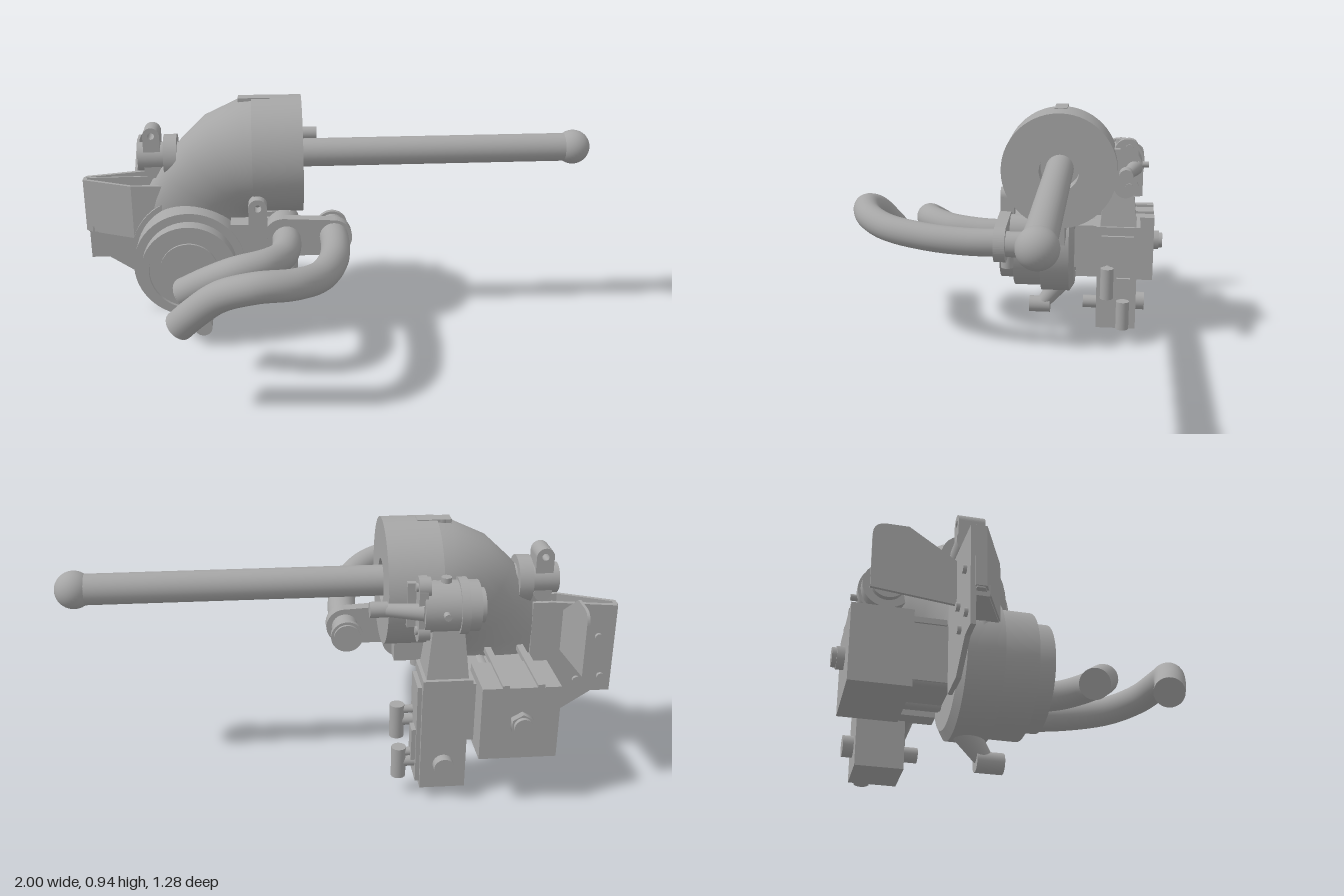
import * as THREE from 'three';
import { toCreasedNormals } from 'three/addons/utils/BufferGeometryUtils.js';

const metal = new THREE.MeshStandardMaterial({ color: 0xa6a6a6 });
metal.name = 'plain grey metal';

export function createModel() {
  const root = new THREE.Group();
  root.name = 'castingAssembly';
  const V = (x, y, z) => new THREE.Vector3(x, y, z);

  const add = (name, geo) => {
    const m = new THREE.Mesh(geo, metal);
    m.name = name;
    root.add(m);
    return m;
  };
  // box from its low and high corners
  const box = (name, a, b) => {
    const m = add(name, new THREE.BoxGeometry(b[0] - a[0], b[1] - a[1], b[2] - a[2]));
    m.position.set((a[0] + b[0]) / 2, (a[1] + b[1]) / 2, (a[2] + b[2]) / 2);
    return m;
  };
  // cylinder between two points
  const rod = (name, a, b, r, r2 = r, sides = 32) => {
    const p = V(...a), q = V(...b), d = q.clone().sub(p);
    const m = add(name, new THREE.CylinderGeometry(r2, r, d.length(), sides));
    m.position.copy(p).add(q).multiplyScalar(0.5);
    m.quaternion.setFromUnitVectors(V(0, 1, 0), d.normalize());
    return m;
  };
  const lathe = (name, pts) => add(name, toCreasedNormals(
    new THREE.LatheGeometry(pts.map(p => new THREE.Vector2(...p)), 56), 0.5));
  const poly = pts => new THREE.Shape(pts.map(p => new THREE.Vector2(...p)));
  const hole = (shape, x, y, r) => {
    shape.holes.push(new THREE.Path().absarc(x, y, r, 0, Math.PI * 2, true));
    return shape;
  };
  const plate = (name, shape, z0, z1) => {
    const m = add(name, new THREE.ExtrudeGeometry(shape, { depth: z1 - z0, bevelEnabled: false, curveSegments: 16 }));
    m.position.z = z0;
    return m;
  };
  // upright strap with rounded ends
  const strapShape = (x, y0, y1, r) => {
    const s = new THREE.Shape();
    s.absarc(x, y1 - r, r, 0, Math.PI, false);
    s.absarc(x, y0 + r, r, Math.PI, Math.PI * 2, false);
    return s;
  };

  // long rod with ball end
  rod('longRod', [-0.2, 0.72, -0.217], [0.93, 0.72, -0.217], 0.055);
  const ball = add('ballEnd', new THREE.SphereGeometry(0.067, 32, 24));
  ball.position.set(0.933, 0.72, -0.217);

  // collar drum with recessed centre
  const drum = lathe('collarDrum', [[0, -0.06], [0.226, -0.06], [0.226, 0.13], [0.078, 0.13], [0.078, 0.04], [0, 0.04]]);
  drum.rotation.z = -Math.PI / 2;
  drum.position.set(-0.27, 0.72, -0.217);

  // elbow: outer x,y, inner x,y, half width in z, centre z
  const sections = [
    [-0.26, 0.945, -0.26, 0.495, 0.225, -0.217], [-0.38, 0.935, -0.28, 0.497, 0.218, -0.217],
    [-0.51, 0.875, -0.31, 0.495, 0.192, -0.216], [-0.60, 0.79, -0.33, 0.485, 0.16, -0.214],
    [-0.69, 0.68, -0.345, 0.465, 0.125, -0.21], [-0.765, 0.55, -0.355, 0.43, 0.095, -0.205],
    [-0.805, 0.42, -0.358, 0.38, 0.076, -0.2], [-0.81, 0.34, -0.36, 0.33, 0.07, -0.2]];
  const N = 40, pos = [], idx = [];
  sections.forEach(([ox, oy, ix, iy, h, cz], k) => {
    for (let j = 0; j < N; j++) {
      const a = j / N * Math.PI * 2, c = Math.cos(a) / 2;
      pos.push((ox + ix) / 2 + (ox - ix) * c, (oy + iy) / 2 + (oy - iy) * c, cz + h * Math.sin(a));
      if (k < sections.length - 1) {
        const p = k * N + j, q = k * N + (j + 1) % N;
        idx.push(p, p + N, q, q, p + N, q + N);
      }
    }
  });
  const elbow = new THREE.BufferGeometry();
  elbow.setAttribute('position', new THREE.Float32BufferAttribute(pos, 3));
  elbow.setIndex(idx);
  elbow.computeVertexNormals();
  add('elbowHousing', elbow);
  rod('elbowPlug', [-0.35, 0.9, -0.217], [-0.35, 0.948, -0.217], 0.025);
  box('elbowPad', [-0.38, 0.9, -0.24], [-0.26, 0.948, -0.19]);

  // stepped round cover
  const cover = lathe('roundCover', [[0, -0.27], [0.2, -0.27], [0.232, -0.25], [0.232, -0.13], [0.212, -0.13],
    [0.212, -0.015], [0.18, -0.015], [0.18, 0.045], [0.15, 0.045], [0.15, 0.03], [0.11, 0.03], [0.11, 0.04], [0, 0.04]]);
  cover.rotation.x = Math.PI / 2;
  cover.position.set(-0.58, 0.34, 0);

  // lower lug
  rod('lugEye', [-0.545, 0.042, -0.165], [-0.545, 0.042, -0.075], 0.035);
  rod('lugArm', [-0.545, 0.05, -0.135], [-0.56, 0.14, -0.205], 0.03, 0.045);

  // two curved handle pipes
  const pipe = (name, pts) => {
    const path = new THREE.CatmullRomCurve3(pts.map(p => V(...p)));
    add(name, new THREE.TubeGeometry(path, 64, 0.054, 24));
    [0, 1].forEach(t => {
      const e = path.getPointAt(t), d = path.getTangentAt(t).multiplyScalar(t ? 0.002 : -0.002);
      rod(name + 'End', e.clone().sub(d).toArray(), e.clone().add(d).toArray(), 0.054);
    });
  };
  pipe('longPipe', [[-0.03, 0.46, -0.02], [-0.03, 0.46, 0.12], [-0.05, 0.468, 0.28], [-0.11, 0.485, 0.45],
    [-0.2, 0.505, 0.545], [-0.32, 0.515, 0.583], [-0.44, 0.48, 0.565], [-0.53, 0.405, 0.53], [-0.585, 0.345, 0.5]]);
  pipe('shortPipe', [[-0.21, 0.45, -0.02], [-0.21, 0.455, 0.1], [-0.235, 0.465, 0.22], [-0.3, 0.475, 0.305],
    [-0.39, 0.465, 0.33], [-0.48, 0.42, 0.3], [-0.585, 0.345, 0.235]]);

  // pipe flange, sockets and clamp
  const flange = new THREE.Shape();
  flange.absarc(-0.03, 0.455, 0.07, -Math.PI / 2, Math.PI / 2, false);
  flange.absarc(-0.22, 0.46, 0.075, Math.PI / 2, Math.PI * 1.5, false);
  plate('pipeFlange', flange, -0.025, 0.02);
  rod('outerSocket', [-0.03, 0.455, -0.13], [-0.03, 0.455, -0.02], 0.05);
  rod('socketLip', [-0.03, 0.455, -0.12], [-0.03, 0.455, -0.1], 0.06);
  rod('innerSocket', [-0.22, 0.46, -0.17], [-0.22, 0.46, -0.02], 0.065);
  plate('clampStrap', hole(strapShape(-0.315, 0.33, 0.615, 0.035), -0.315, 0.58, 0.014), -0.03, 0.025);
  rod('clampBolt', [-0.315, 0.275, 0], [-0.315, 0.36, 0], 0.026);
  box('clampBridge', [-0.42, 0.38, -0.1], [-0.22, 0.5, -0.02]);
  box('socketBracket', [-0.34, 0.41, -0.24], [-0.19, 0.52, -0.1]);

  // rear motor block
  box('motorBody', [-0.71, 0.2, -0.6], [-0.44, 0.47, -0.4]);
  box('motorNeck', [-0.68, 0.24, -0.41], [-0.46, 0.44, -0.25]);
  [-0.655, -0.495].forEach(x => [0.255, 0.42].forEach(y =>
    rod('motorTieBolt', [x, y, -0.42], [x, y, -0.26], 0.025, 0.025, 16)));
  [-0.64, -0.52].forEach(x => box('motorRib', [x - 0.012, 0.46, -0.6], [x + 0.012, 0.48, -0.25]));
  rod('motorNut', [-0.58, 0.338, -0.625], [-0.58, 0.338, -0.6], 0.042, 0.042, 6);
  rod('motorShaft', [-0.58, 0.338, -0.64], [-0.58, 0.338, -0.62], 0.032);

  // upright actuator
  box('actuatorBody', [-0.41, 0.05, -0.53], [-0.25, 0.47, -0.37]);
  box('actuatorRail', [-0.37, 0.07, -0.515], [-0.235, 0.44, -0.385]);
  box('actuatorCap', [-0.42, 0.44, -0.54], [-0.25, 0.475, -0.365]);
  const neck = add('actuatorNeck', new THREE.CylinderGeometry(0.075, 0.105, 0.2, 4, 1).toNonIndexed().rotateY(Math.PI / 4));
  neck.geometry.computeVertexNormals();
  neck.position.set(-0.335, 0.56, -0.452);
  box('actuatorMount', [-0.46, 0.22, -0.5], [-0.4, 0.44, -0.28]);

  // hose fittings on the actuator
  [[0.2, 0.325, -0.412], [0.075, 0.19, -0.477]].forEach(([y0, y1, z]) => {
    rod('hoseFitting', [-0.18, y0, z], [-0.18, y1, z], 0.026);
    rod('hoseElbow', [-0.26, (y0 + y1) / 2, z], [-0.18, (y0 + y1) / 2, z], 0.02);
    rod('hoseStub', [-0.25, y1 - 0.02, z], [-0.18, y1 - 0.02, z], 0.015);
  });
  box('fittingGuide', [-0.25, 0.15, -0.505], [-0.22, 0.27, -0.45]);
  rod('frontSidePin', [-0.33, 0.135, -0.37], [-0.33, 0.135, -0.315], 0.026);
  rod('rearSidePin', [-0.33, 0.145, -0.565], [-0.33, 0.145, -0.53], 0.036);

  // pivot hub above the actuator
  rod('pivotHub', [-0.44, 0.715, -0.452], [-0.25, 0.715, -0.452], 0.088);
  rod('hubRim', [-0.4, 0.715, -0.452], [-0.37, 0.715, -0.452], 0.098);
  rod('hubCap', [-0.46, 0.715, -0.452], [-0.43, 0.715, -0.452], 0.06);
  const lug = strapShape(0, 0.6, 0.835, 0.045);
  [[0.605, -0.49], [0.835, -0.485]].forEach(([y, z]) => {
    const c = y < 0.7 ? y + 0.04 : y - 0.035;
    rod('hubEar', [-0.27, c, z], [-0.23, c, z], 0.035);
    rod('hubEarBolt', [-0.235, c, z], [-0.222, c, z], 0.015);
  });
  const lugMesh = plate('hubLug', lug, 0, 0.03);
  lugMesh.rotation.y = Math.PI / 2;
  lugMesh.position.set(-0.26, 0, -0.475);
  box('hubLink', [-0.3, 0.64, -0.45], [-0.2, 0.8, -0.38]);
  rod('leverArm', [-0.25, 0.72, -0.51], [-0.09, 0.72, -0.472], 0.03, 0.02);
  rod('leverPin', [-0.13, 0.72, -0.475], [-0.07, 0.72, -0.475], 0.027);
  rod('hubNipple', [-0.32, 0.72, -0.565], [-0.32, 0.72, -0.52], 0.012);
  rod('hubTopScrew', [-0.33, 0.79, -0.45], [-0.33, 0.82, -0.45], 0.018);

  // side shaft with end clamp
  rod('sideShaft', [-0.77, 0.715, -0.226], [-0.48, 0.715, -0.226], 0.055);
  rod('shaftCollar', [-0.67, 0.715, -0.226], [-0.62, 0.715, -0.226], 0.085);
  plate('shaftStrap', hole(strapShape(-0.715, 0.64, 0.84, 0.032), -0.715, 0.808, 0.013), -0.27, -0.18);

  // side bracket: back plate, open tray and fin
  const back = poly([[-0.99, 0.62], [-0.99, 0.28], [-0.92, 0.28], [-0.8, 0.2], [-0.68, 0.2], [-0.68, 0.64], [-0.75, 0.64]]);
  plate('bracketPlate', back, -0.285, -0.268);
  const tray = poly([[-0.995, 0.27], [-0.995, 0.235], [-0.8, 0.145], [-0.6, 0.14], [-0.6, 0.27]]);
  tray.holes.push(new THREE.Path([[-0.98, 0.26], [-0.62, 0.26], [-0.62, 0.155], [-0.8, 0.16], [-0.98, 0.245]]
    .map(p => new THREE.Vector2(...p))));
  const trayMesh = plate('openTray', tray, 0, 0.21);
  trayMesh.rotation.x = -Math.PI / 2;
  trayMesh.position.y = 0.41;
  trayMesh.scale.y = -1;
  trayMesh.geometry.scale(1, -1, 1);
  trayMesh.scale.y = 1;
  trayMesh.geometry.scale(1, -1, 1);
  trayMesh.geometry.translate(0, 0, 0);
  const floor = poly([[-0.99, 0.265], [-0.99, 0.24], [-0.8, 0.15], [-0.62, 0.15], [-0.62, 0.265]]);
  const floorMesh = plate('trayFloor', floor, 0, 0.015);
  floorMesh.rotation.x = -Math.PI / 2;
  floorMesh.position.y = 0.405;
  box('traySlotPlate', [-0.97, 0.39, -0.268], [-0.85, 0.43, -0.22]);
  [[-0.95, 0.34], [-0.86, 0.33], [-0.93, 0.5], [-0.84, 0.42]].forEach(([x, y]) =>
    rod('plateBolt', [x, y, -0.297], [x, y, -0.28], 0.014, 0.014, 12));
  const fin = new THREE.Shape();
  fin.moveTo(0.27, 0.45);
  fin.lineTo(0.555, 0.48);
  fin.lineTo(0.555, 0.67);
  fin.quadraticCurveTo(0.555, 0.715, 0.51, 0.715);
  fin.lineTo(0.44, 0.715);
  fin.lineTo(0.27, 0.6);
  const finMesh = plate('finPlate', fin, 0, 0.01);
  finMesh.rotation.y = Math.PI / 2;
  finMesh.position.x = -0.8;
  return root;
}
